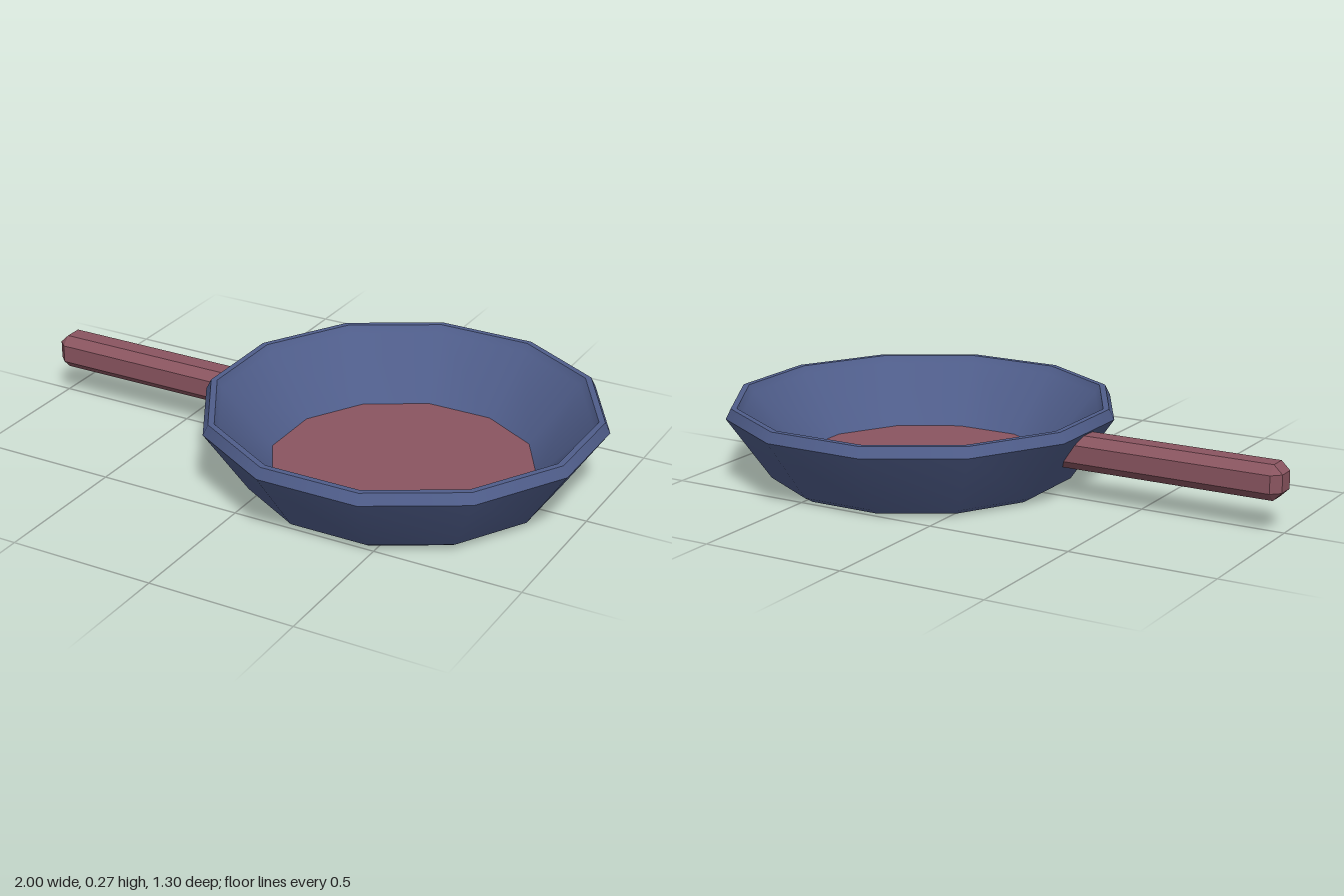
import * as THREE from 'three';
import { ConvexGeometry } from 'three/addons/geometries/ConvexGeometry.js';

const SIDES = 12;
const CENTRE_X = 0.345;
const blue = new THREE.MeshStandardMaterial({ color: 0x4f5d8a });
const red = new THREE.MeshStandardMaterial({ color: 0x8a5560 });

// Twelve-sided ring; profile is [distance to flat side, height]
function ring(name, profile, material) {
  const k = 1 / Math.cos(Math.PI / SIDES);
  const points = profile.map(([r, y]) => new THREE.Vector2(r * k, y));
  const mesh = new THREE.Mesh(new THREE.LatheGeometry(points, SIDES, Math.PI / SIDES), material);
  mesh.name = name;
  return mesh;
}

// Bar with chamfered long edges, chamfered free end and a slanted end meeting the pan wall
function handleGeometry() {
  const h = 0.059, c = 0.03;
  const points = [];
  for (const sy of [-1, 1]) {
    for (const sz of [-1, 1]) {
      points.push(new THREE.Vector3(-1, sy * c, sz * c));
      for (const [y, z] of [[h, c], [c, h]]) {
        points.push(new THREE.Vector3(-0.97, sy * y, sz * z));
        points.push(new THREE.Vector3(-0.235 - sy * y * 0.5, sy * y, sz * z));
      }
    }
  }
  return new ConvexGeometry(points);
}

export function createModel() {
  const group = new THREE.Group();
  group.name = 'fryingPan';

  const bowl = new THREE.Group();
  bowl.name = 'bowl';
  bowl.position.x = CENTRE_X;
  bowl.add(
    ring('base', [[0, 0], [0.475, 0]], red),
    ring('outerWall', [[0.475, 0], [0.507, 0.02], [0.65, 0.235]], blue),
    ring('rimOuterBevel', [[0.65, 0.235], [0.633, 0.27]], blue),
    ring('rimTop', [[0.633, 0.27], [0.613, 0.27]], blue),
    ring('innerWall', [[0.613, 0.27], [0.598, 0.245], [0.43, 0.05]], blue),
    ring('floor', [[0.43, 0.05], [0, 0.05]], red),
  );
  group.add(bowl);

  const handle = new THREE.Mesh(handleGeometry(), red);
  handle.name = 'handle';
  handle.position.y = 0.168;
  group.add(handle);

  return group;
}
